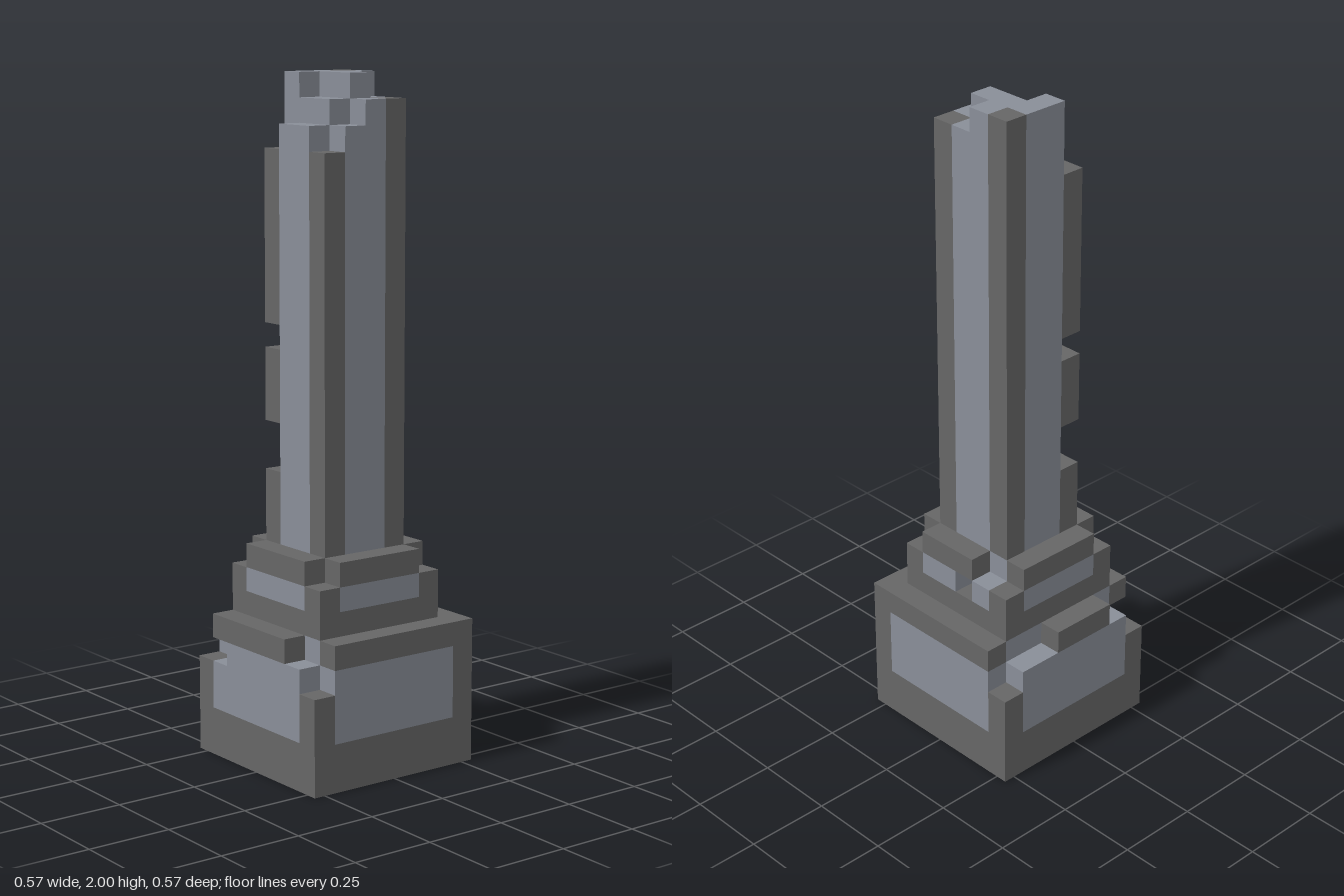
import * as THREE from 'three';

const U = 2 / 28; // block size
const darkStone = new THREE.MeshStandardMaterial({ color: 0x666666 });
darkStone.name = 'darkStone';
const lightStone = new THREE.MeshStandardMaterial({ color: 0x898e98 });
lightStone.name = 'lightStone';

// Square tiers: blocks lo..hi in x and z, rows y0..y1
const tiers = [
  { name: 'base', lo: 0, hi: 7, y0: 0, y1: 5 },
  { name: 'collar', lo: 1, hi: 6, y0: 6, y1: 8 },
  { name: 'shaft', lo: 2, hi: 5, y0: 9, y1: 27 },
];

// Blocks broken off the edges, as 'x,y,z'
const chips = new Set([
  '0,4,7', '0,5,7', '7,4,7', '7,5,7', '0,4,0', '0,5,0', // base corners
  '1,4,7', '6,5,7', '0,5,6', '0,5,1', '0,5,2',          // base edges
  '1,8,1', '1,8,6', '6,8,1', '6,8,6', '2,8,1', '3,7,1', // collar
  '2,12,5', '2,13,5', '2,17,5',                         // shaft corner
]);

// Ruined crown: column heights that fall short of the full height
const crown = {
  '2,5': 25, '3,5': 26, '4,5': 26, '5,5': 25,
  '3,4': 27, '4,4': 27, '5,4': 26,
  '5,3': 27, '4,2': 27, '5,2': 27,
};

const tierAt = (y) => tiers.find((t) => y >= t.y0 && y <= t.y1);

function solid(x, y, z) {
  const t = tierAt(y);
  if (!t || x < t.lo || x > t.hi || z < t.lo || z > t.hi) return false;
  if (chips.has(`${x},${y},${z}`)) return false;
  return t.name !== 'shaft' || y < (crown[`${x},${z}`] ?? 28);
}

// Edge blocks are dark, blocks in the middle of a side are light
function isLight(t, x, y, z, down) {
  const sides = (x === t.lo || x === t.hi) + (z === t.lo || z === t.hi);
  if (t.name === 'shaft') return sides < 2;
  if (down && y === 0) return x > 1 && x < 6 && z > 1 && z < 6;
  const rim = y === t.y1 || y === t.y0 || (t.name === 'base' && y === 1);
  return sides + rim === 1;
}

function buildTier(t) {
  const faces = [[], []]; // dark, light
  const normals = [[], []];
  for (let y = t.y0; y <= t.y1; y++)
    for (let x = t.lo; x <= t.hi; x++)
      for (let z = t.lo; z <= t.hi; z++) {
        if (!solid(x, y, z)) continue;
        for (let axis = 0; axis < 3; axis++)
          for (const s of [1, -1]) {
            const n = [0, 0, 0];
            n[axis] = s;
            if (solid(x + n[0], y + n[1], z + n[2])) continue;
            const k = isLight(t, x, y, z, n[1] < 0) ? 1 : 0;
            const b = (axis + 1) % 3, c = (axis + 2) % 3;
            const corner = (p, q) => {
              const v = [x - 3.5, y + 0.5, z - 3.5];
              v[axis] += s / 2;
              v[b] += (p * s) / 2;
              v[c] += q / 2;
              return v.map((e) => e * U);
            };
            const [A, B, C, D] = [corner(-1, -1), corner(1, -1), corner(1, 1), corner(-1, 1)];
            faces[k].push(...A, ...B, ...C, ...A, ...C, ...D);
            for (let i = 0; i < 6; i++) normals[k].push(...n);
          }
      }
  const geo = new THREE.BufferGeometry();
  geo.setAttribute('position', new THREE.Float32BufferAttribute([...faces[0], ...faces[1]], 3));
  geo.setAttribute('normal', new THREE.Float32BufferAttribute([...normals[0], ...normals[1]], 3));
  geo.addGroup(0, faces[0].length / 3, 0);
  geo.addGroup(faces[0].length / 3, faces[1].length / 3, 1);
  const mesh = new THREE.Mesh(geo, [darkStone, lightStone]);
  mesh.name = t.name;
  return mesh;
}

export function createModel() {
  const pillar = new THREE.Group();
  pillar.name = 'brokenPillar';
  for (const t of tiers) pillar.add(buildTier(t));
  return pillar;
}
